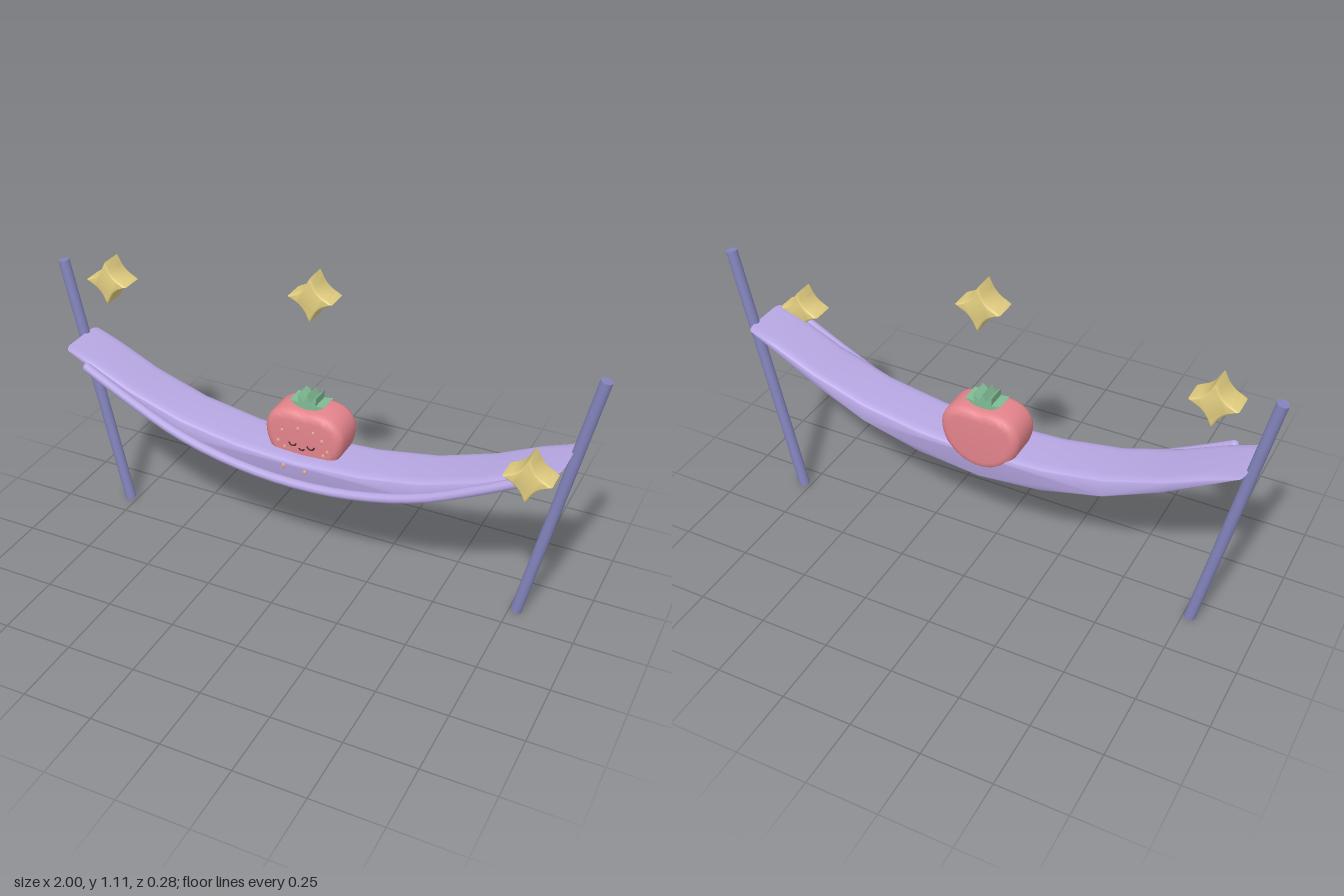
import * as THREE from 'three';
import { toCreasedNormals } from 'three/addons/utils/BufferGeometryUtils.js';

const mat = (color) => new THREE.MeshStandardMaterial({ color });
const cloth = mat(0xb8a8e4), wood = mat(0x8484bc), gold = mat(0xe2ce80), red = mat(0xe4848c);
const green = mat(0x80bc94), seedMat = mat(0xe2a890), dark = mat(0x4a2c34);

function add(parent, name, geometry, material, x = 0, y = 0, z = 0) {
  const mesh = new THREE.Mesh(geometry, material);
  mesh.name = name;
  mesh.position.set(x, y, z);
  parent.add(mesh);
  return mesh;
}

// Extrude a shape so that, bevels included, it fills z0..z1
function slab(shape, z0, z1, bevelThickness, bevelSize, curveSegments = 8) {
  const g = new THREE.ExtrudeGeometry(shape, {
    depth: z1 - z0 - 2 * bevelThickness, bevelEnabled: bevelThickness > 0,
    bevelThickness, bevelSize, bevelOffset: 0, bevelSegments: 4, curveSegments,
  });
  g.translate(0, 0, z0 + bevelThickness);
  return toCreasedNormals(g, 0.75);
}

// Points of the left half, running to x = 0, completed by their mirror image
const mirrored = (half) => [...half, ...half.slice(0, -1).reverse().map(([x, y]) => [-x, y])];
const vectors = (points) => points.map(([x, y]) => new THREE.Vector2(x, y));

function starShape(r, waist) {
  const s = new THREE.Shape().moveTo(r, 0);
  s.quadraticCurveTo(waist, waist, 0, r);
  s.quadraticCurveTo(-waist, waist, -r, 0);
  s.quadraticCurveTo(-waist, -waist, 0, -r);
  s.quadraticCurveTo(waist, -waist, r, 0);
  return s;
}

export function createModel() {
  const root = new THREE.Group();
  root.name = 'strawberryHammock';

  // Leaning posts
  for (const side of [-1, 1]) {
    const post = add(root, side > 0 ? 'leftPost' : 'rightPost',
      new THREE.CylinderGeometry(0.02, 0.02, 0.98, 20), wood, side * 0.877, 0.485, -0.08);
    post.rotation.z = -side * Math.atan2(0.205, 0.96);
  }

  // Sagging crescent bed
  const lower = mirrored([[-0.893, 0.685], [-0.8, 0.633], [-0.65, 0.545], [-0.45, 0.452], [-0.23, 0.395], [0, 0.372]]);
  const upper = mirrored([[-0.8, 0.647], [-0.65, 0.577], [-0.45, 0.51], [-0.23, 0.472], [0, 0.46]]).reverse();
  add(root, 'hammockBed', slab(new THREE.Shape(vectors([...lower, ...upper])), -0.135, 0.06, 0.035, 0.012), cloth);

  // Rolled front edge
  const rimPath = mirrored([[-0.81, 0.645], [-0.65, 0.56], [-0.45, 0.468], [-0.23, 0.412], [0, 0.393]])
    .map(([x, y]) => new THREE.Vector3(x, y, 0.073));
  const rimCurve = new THREE.CatmullRomCurve3(rimPath);
  add(root, 'hammockRim', new THREE.TubeGeometry(rimCurve, 24, 0.017, 10), cloth);
  for (const end of [0, 8]) add(root, 'rimEnd', new THREE.SphereGeometry(0.017, 10, 8), cloth, ...rimPath[end].toArray());

  // Strawberry body
  const berry = new THREE.Group();
  berry.name = 'strawberry';
  root.add(berry);
  const body = new THREE.Shape().moveTo(0, 0.6);
  body.bezierCurveTo(0.08, 0.615, 0.115, 0.59, 0.115, 0.545);
  body.bezierCurveTo(0.115, 0.49, 0.07, 0.43, 0, 0.43);
  body.bezierCurveTo(-0.07, 0.43, -0.115, 0.49, -0.115, 0.545);
  body.bezierCurveTo(-0.115, 0.59, -0.08, 0.615, 0, 0.6);
  add(berry, 'berryBody', slab(body, -0.14, 0.01, 0.03, 0.03, 12), red);

  // Leaf crown
  const crown = mirrored([[-0.022, 0.615], [-0.045, 0.622], [-0.035, 0.635], [-0.065, 0.655], [-0.032, 0.651],
    [-0.034, 0.68], [-0.012, 0.66], [0, 0.686]]);
  add(berry, 'leafCrown', slab(new THREE.Shape(vectors(crown)), -0.1, -0.03, 0, 0), green);

  // Seeds, the lowest two resting on the bed's front
  const seeds = [[-0.015, 0.572], [0.042, 0.568], [-0.075, 0.552], [0.075, 0.545], [-0.09, 0.507], [0.095, 0.507],
    [-0.065, 0.488], [0.08, 0.488], [-0.045, 0.446, 0.06], [0.035, 0.44, 0.06]];
  for (const [x, y, z = 0.008] of seeds)
    add(berry, 'seed', new THREE.SphereGeometry(0.008, 10, 8), seedMat, x, y, z).scale.set(0.85, 1.2, 0.6);

  // Sleepy face
  const arc = (name, r, x, y) => {
    add(berry, name, new THREE.TorusGeometry(r, 0.003, 6, 12, Math.PI), dark, x, y, 0.011).rotation.z = Math.PI;
  };
  for (const side of [-1, 1]) arc('eye', 0.013, side * 0.034, 0.515);
  arc('mouth', 0.009, 0, 0.5);

  // Hanging stars
  const star = slab(starShape(0.07, 0.017), -0.045, 0.045, 0.01, 0.007, 10);
  for (const [x, y, z] of [[0, 1.032, -0.09], [-0.786, 0.925, -0.09], [0.822, 0.68, 0.09]])
    add(root, 'star', star, gold, x, y, z);

  return root;
}
